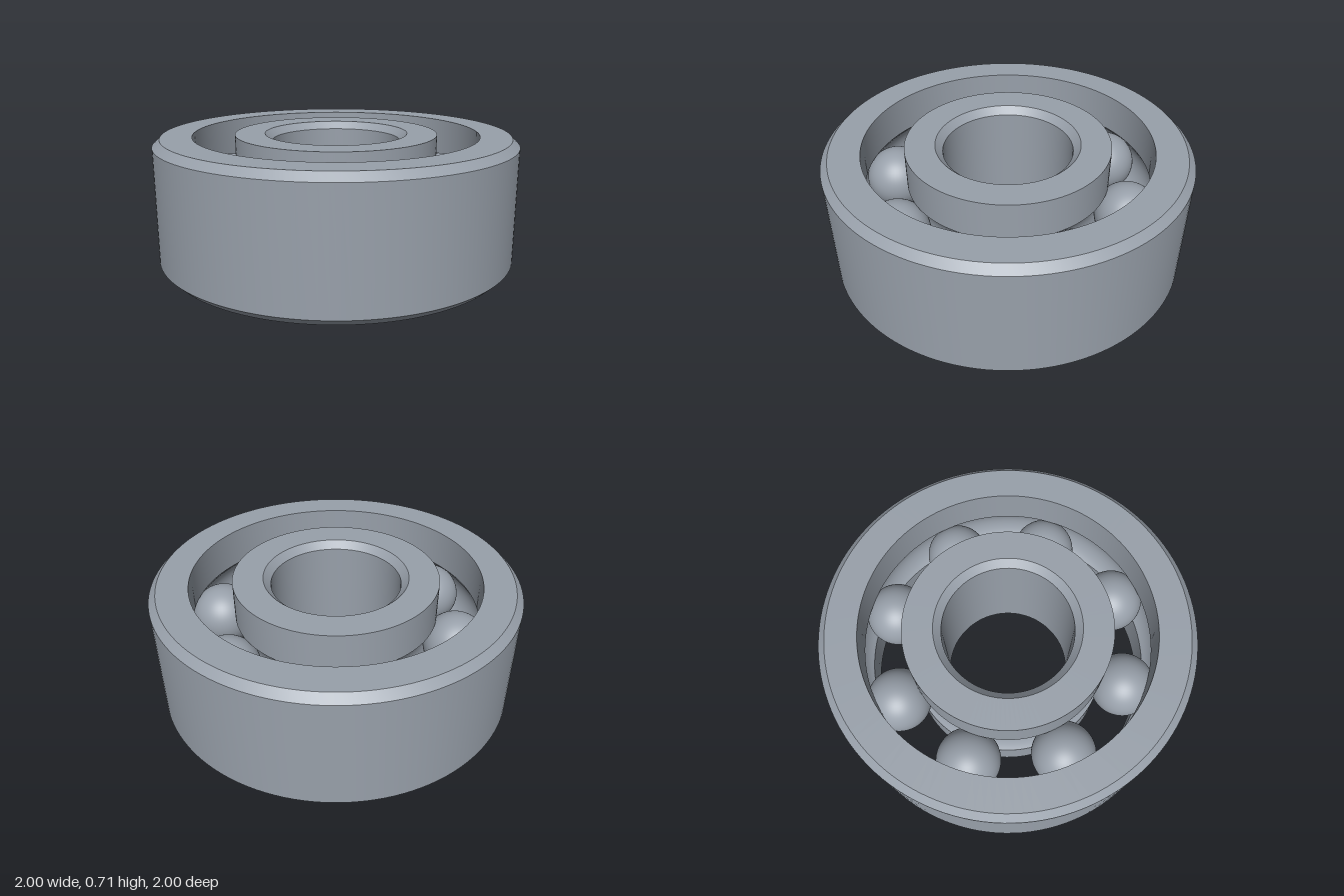
import * as THREE from 'three';
import { toCreasedNormals } from 'three/addons/utils/BufferGeometryUtils.js';

const H = 0.706;          // ring width
const C = 0.04;           // chamfer
const PITCH = 0.675;      // ball circle radius
const BALL_R = 0.177;
const GROOVE_R = 0.178;
const OUTER = { wall: 1, race: 0.79 };
const INNER = { wall: 0.355, race: 0.56 };

const steel = new THREE.MeshStandardMaterial({ color: 0x98a0aa });
steel.name = 'steel grey';

// Arc of the ball groove; side +1 cuts the outer race (top down), -1 the inner race (bottom up)
function groove(race, side) {
  const half = Math.acos(Math.abs(race - PITCH) / GROOVE_R);
  const steps = 16;
  return Array.from({ length: steps + 1 }, (_, i) => {
    const a = side * half * (1 - (2 * i) / steps);
    return [PITCH + side * GROOVE_R * Math.cos(a), H / 2 + GROOVE_R * Math.sin(a)];
  });
}

// Closed ring turned from a counter-clockwise (radius, height) profile
function ring(name, profile) {
  const points = [...profile, profile[0]].map(([r, y]) => new THREE.Vector2(r, y));
  const geometry = toCreasedNormals(new THREE.LatheGeometry(points, 128), 0.5);
  const mesh = new THREE.Mesh(geometry, steel);
  mesh.name = name;
  return mesh;
}

export function createModel() {
  const model = new THREE.Group();
  model.name = 'ballBearing';

  // Outer ring, chamfered outside
  model.add(ring('outerRing', [
    [OUTER.race, 0], [OUTER.wall - C, 0], [OUTER.wall, C],
    [OUTER.wall, H - C], [OUTER.wall - C, H], [OUTER.race, H],
    ...groove(OUTER.race, 1),
  ]));

  // Inner ring, chamfered at the bore
  model.add(ring('innerRing', [
    [INNER.wall + C, 0], [INNER.race, 0],
    ...groove(INNER.race, -1),
    [INNER.race, H], [INNER.wall + C, H], [INNER.wall, H - C], [INNER.wall, C],
  ]));

  // Eight balls between the races
  const balls = new THREE.Group();
  balls.name = 'balls';
  const ballGeometry = new THREE.SphereGeometry(BALL_R, 48, 32);
  for (let i = 0; i < 8; i++) {
    const a = THREE.MathUtils.degToRad(11.7 + i * 45);
    const ball = new THREE.Mesh(ballGeometry, steel);
    ball.name = `ball${i + 1}`;
    ball.position.set(PITCH * Math.cos(a), H / 2, PITCH * Math.sin(a));
    balls.add(ball);
  }
  model.add(balls);
  return model;
}
